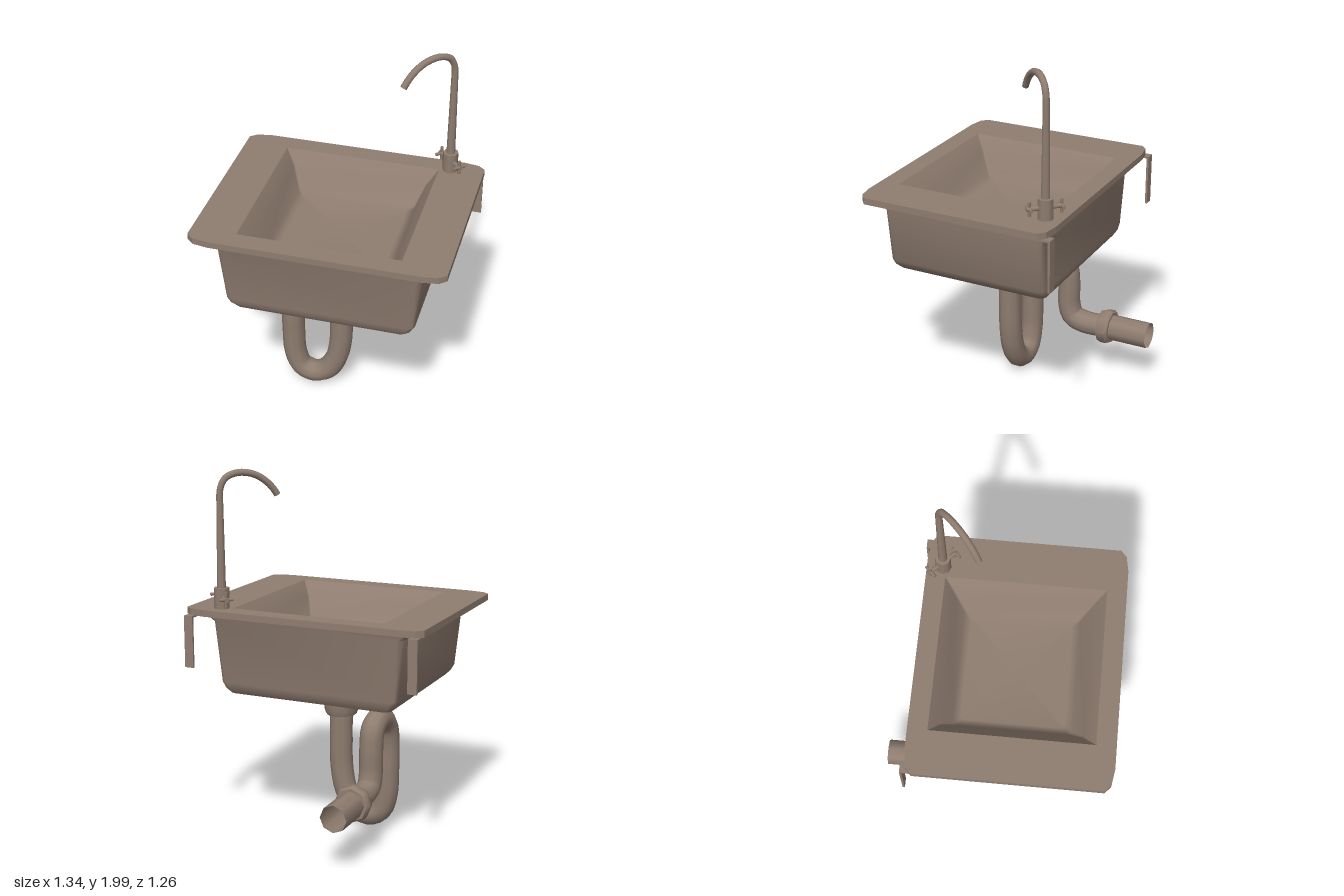
import * as THREE from 'three';
import { mergeVertices, toCreasedNormals } from 'three/addons/utils/BufferGeometryUtils.js';

const V = (x, y, z) => new THREE.Vector3(x, y, z);

// Rectangle with cut corners, as [x, z] points
function cutRect(hx, z0, z1, cx, cz) {
  return [
    [hx, z1 - cz], [hx - cx * 0.3, z1 - cz * 0.3], [hx - cx, z1],
    [-hx + cx, z1], [-hx + cx * 0.3, z1 - cz * 0.3], [-hx, z1 - cz],
    [-hx, z0 + cz], [-hx + cx * 0.3, z0 + cz * 0.3], [-hx + cx, z0],
    [hx - cx, z0], [hx - cx * 0.3, z0 + cz * 0.3], [hx, z0 + cz],
  ];
}

// Skin through rings of [y, halfWidth, zBack, zFront, cornerCut], top to bottom, closed at the last ring
function basinSkin(rings, inward) {
  const pos = [], idx = [], n = 12;
  const last = rings[rings.length - 1], mid = (last[2] + last[3]) / 2;
  for (const [y, hx, z0, z1, c] of [...rings, [last[0], 0, mid, mid, 0]])
    for (const [x, z] of cutRect(hx, z0, z1, c, c)) pos.push(x, y, z);
  for (let r = 0; r < rings.length; r++)
    for (let i = 0; i < n; i++) {
      const a = r * n + i, b = r * n + (i + 1) % n, c = a + n, d = b + n;
      if (inward) idx.push(a, c, b, b, c, d);
      else idx.push(a, b, c, b, d, c);
    }
  const g = new THREE.BufferGeometry();
  g.setAttribute('position', new THREE.Float32BufferAttribute(pos, 3));
  g.setIndex(idx);
  return g;
}

export function createModel() {
  const model = new THREE.Group();
  model.name = 'sink';
  const mat = new THREE.MeshStandardMaterial({ color: 0x8f7d70, side: THREE.DoubleSide });

  const add = (name, geo, parent = model) => {
    const m = new THREE.Mesh(geo, mat);
    m.name = name;
    parent.add(m);
    return m;
  };
  const box = (name, w, h, d, x, y, z) =>
    add(name, new THREE.BoxGeometry(w, h, d)).position.set(x, y, z);
  const tube = (name, pts, r, seg, sides) =>
    add(name, new THREE.TubeGeometry(new THREE.CatmullRomCurve3(pts), seg, r, sides));
  const lathe = (name, pts, sides) => {
    const g = new THREE.LatheGeometry(pts.map(p => new THREE.Vector2(...p)), sides);
    g.deleteAttribute('uv');
    g.deleteAttribute('normal');
    return add(name, toCreasedNormals(mergeVertices(g), 0.9));
  };

  // Countertop rim with the basin opening
  const rim = new THREE.Shape(cutRect(0.67, -0.445, 0.63, 0.12, 0.045).map(p => new THREE.Vector2(...p)));
  rim.holes.push(new THREE.Path([[-0.43, -0.34], [-0.43, 0.525], [0.43, 0.525], [0.43, -0.34]]
    .map(p => new THREE.Vector2(...p))));
  const rimGeo = new THREE.ExtrudeGeometry(rim, { depth: 0.035, bevelEnabled: false });
  rimGeo.rotateX(Math.PI / 2);
  add('rim', rimGeo).position.y = 1.275;

  // Inside of the basin
  const inner = basinSkin([
    [1.275, 0.43, -0.34, 0.525, 0.002],
    [1.2, 0.375, -0.285, 0.46, 0.01],
    [1.09, 0.33, -0.23, 0.40, 0.015],
    [1.065, 0.29, -0.19, 0.36, 0.02],
  ], true);
  inner.computeVertexNormals();
  add('basinInside', inner);

  // Outside of the basin
  add('basinOutside', toCreasedNormals(basinSkin([
    [1.24, 0.6, -0.37, 0.56, 0.03],
    [1.2, 0.54, -0.365, 0.552, 0.03],
    [0.87, 0.505, -0.355, 0.547, 0.03],
    [0.835, 0.485, -0.35, 0.542, 0.03],
    [0.81, 0.46, -0.335, 0.528, 0.03],
  ], false), 0.8));

  // Wall brackets
  for (const s of [-1, 1]) {
    box('wallBracket', 0.05, 0.28, 0.012, s * 0.632, 1.1, -0.456);
    box('bracketArm', 0.05, 0.01, 0.55, s * 0.632, 1.235, -0.187);
  }

  // Drain funnel and coupling nut
  const drain = lathe('drain', [[0.068, 0.62], [0.068, 0.70], [0.095, 0.82]], 10);
  drain.position.z = 0.095;
  const nutProfile = [[0.066, -0.035], [0.085, -0.035], [0.094, -0.01], [0.096, 0.035], [0.066, 0.035]];
  const nut = lathe('drainNut', nutProfile, 10);
  nut.position.set(0, 0.672, 0.095);

  // Trap pipe: U-bend, then over and back toward the wall
  const X = -0.28;
  tube('trapPipe', [
    V(0, 0.68, 0.095), V(0, 0.5, 0.095), V(-0.004, 0.33, 0.095), V(-0.03, 0.2, 0.095),
    V(-0.085, 0.108, 0.095), V(-0.16, 0.073, 0.095), V(-0.237, 0.105, 0.095),
    V(-0.272, 0.2, 0.095), V(X, 0.35, 0.095), V(X, 0.52, 0.095),
    V(X, 0.61, 0.07), V(X, 0.664, 0.01), V(X, 0.674, -0.06), V(X, 0.635, -0.12),
    V(X, 0.54, -0.137), V(X, 0.4, -0.141), V(X, 0.335, -0.165), V(X, 0.31, -0.23),
    V(X, 0.31, -0.38),
  ], 0.064, 72, 10);

  // Wall outlet with its nut
  const outletNut = lathe('outletNut', [[0.06, -0.035], [0.09, -0.035], [0.1, -0.02], [0.1, 0.01], [0.09, 0.035], [0.06, 0.035]], 8);
  outletNut.rotation.x = Math.PI / 2;
  outletNut.position.set(X - 0.003, 0.312, -0.375);
  const outlet = add('outletPipe', new THREE.CylinderGeometry(0.074, 0.074, 0.26, 8, 1, true));
  outlet.rotation.x = Math.PI / 2;
  outlet.position.set(X - 0.003, 0.312, -0.5);

  // Faucet, turned to pour over the basin (local +x points to the spout tip)
  const faucet = new THREE.Group();
  faucet.name = 'faucet';
  faucet.position.set(0.487, 1.275, -0.355);
  faucet.rotation.y = -Math.PI * 0.75;
  model.add(faucet);
  add('faucetBase', new THREE.CylinderGeometry(0.042, 0.042, 0.11, 8), faucet).position.y = 0.055;
  add('faucetStem', new THREE.CylinderGeometry(0.018, 0.024, 0.5, 8), faucet).position.y = 0.35;
  const spout = [[0, 0.58], [0.004, 0.63], [0.03, 0.68], [0.08, 0.704], [0.135, 0.707],
    [0.2, 0.69], [0.26, 0.65], [0.296, 0.61], [0.312, 0.585]].map(([u, y]) => V(u, y, 0));
  faucet.add(tube('spout', spout, 0.018, 24, 8));
  const tip = add('spoutTip', new THREE.CircleGeometry(0.018, 8), faucet);
  tip.position.copy(spout[8]);
  tip.lookAt(faucet.localToWorld(V(0.328, 0.56, 0)));

  // Cross handles on both sides of the base
  for (const s of [-1, 1]) {
    const stem = add('handleStem', new THREE.CylinderGeometry(0.013, 0.013, 0.07, 8), faucet);
    stem.rotation.x = Math.PI / 2;
    stem.position.set(0, 0.06, s * 0.065);
    for (const a of [0, Math.PI / 2]) {
      const bar = add('handleBar', new THREE.CylinderGeometry(0.009, 0.009, 0.075, 6), faucet);
      bar.rotation.z = a;
      bar.position.set(0, 0.06, s * 0.085);
    }
  }
  return model;
}
